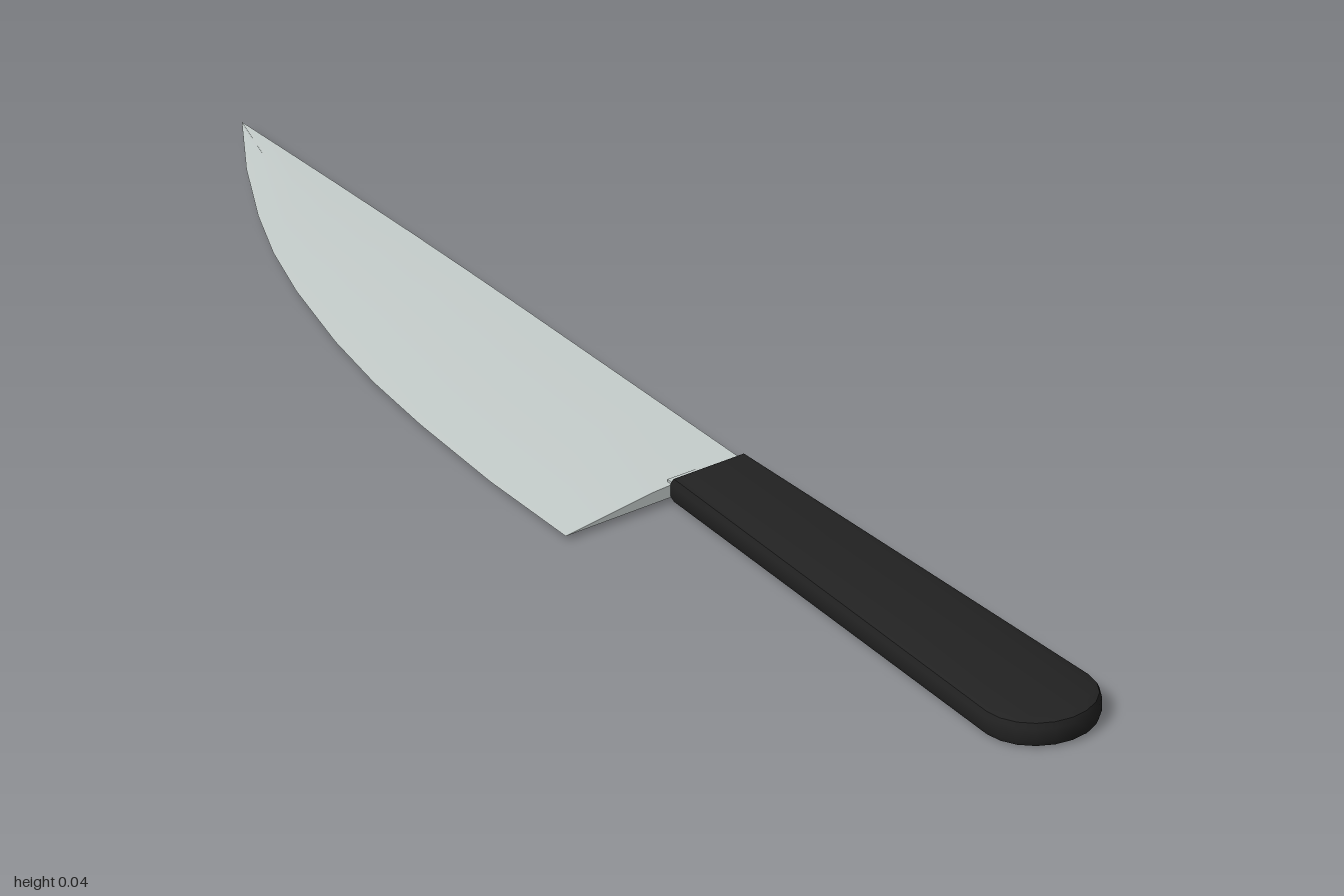
import * as THREE from 'three';
import { toCreasedNormals } from 'three/addons/utils/BufferGeometryUtils.js';

const steel = new THREE.MeshStandardMaterial({ name: 'steel', color: 0xc3cbc9 });
const black = new THREE.MeshStandardMaterial({ name: 'blackHandle', color: 0x222222 });

const SPINE_X = 0.125;

// Blade lofted from four-point cross-sections, heel to tip: [z, edge x, edge y, spine half thickness]
function createBlade() {
  const sections = [
    [0.15, -0.165, 0.008, 0.0125], [-0.03, -0.161, 0.008, 0.0125],
    [-0.21, -0.148, 0.009, 0.0125], [-0.34, -0.132, 0.009, 0.0125],
    [-0.46, -0.11, 0.01, 0.012], [-0.6, -0.074, 0.012, 0.0105],
    [-0.7, -0.04, 0.014, 0.0085], [-0.79, 0, 0.016, 0.0065],
    [-0.9, 0.06, 0.018, 0.0035], [-1, SPINE_X, 0.021, 0.0005],
  ];
  const positions = [];
  const index = [];
  sections.forEach(([z, x, y, half], i) => {
    const top = 0.0225 + half;
    const bottom = 0.0225 - half;
    positions.push(
      x, y, z, // cutting edge
      SPINE_X, bottom, z,
      SPINE_X, top, z,
      (x + SPINE_X) / 2, y + (top - y) * 0.7, z, // slight belly on the upper face
    );
    if (i === 0) return;
    for (let j = 0; j < 4; j++) {
      const k = (j + 1) % 4;
      const a = (i - 1) * 4;
      const b = i * 4;
      index.push(a + j, b + j, a + k, a + k, b + j, b + k);
    }
  });
  index.push(0, 1, 2, 0, 2, 3); // heel
  const last = (sections.length - 1) * 4;
  index.push(last, last + 2, last + 1, last, last + 3, last + 2); // tip
  const geometry = new THREE.BufferGeometry();
  geometry.setAttribute('position', new THREE.Float32BufferAttribute(positions, 3));
  geometry.setIndex(index);
  return toCreasedNormals(geometry, 0.4);
}

// Tapered handle with a rounded butt, outlined in plan and extruded upwards
function createHandle() {
  const cx = 0.073;
  const height = 0.042;
  const bevel = 0.011;
  const shape = new THREE.Shape();
  // shape y is -z once laid flat
  shape.moveTo(cx + 0.062, -0.15);
  shape.lineTo(cx - 0.062, -0.15);
  for (let i = 0; i <= 10; i++) {
    const a = Math.PI * (1 + i / 10);
    shape.lineTo(cx + 0.089 * Math.cos(a), -0.915 + 0.085 * Math.sin(a));
  }
  shape.closePath();
  const geometry = new THREE.ExtrudeGeometry(shape, {
    depth: height - 2 * bevel,
    bevelEnabled: true,
    bevelSize: bevel,
    bevelThickness: bevel,
    bevelOffset: -bevel,
    bevelSegments: 2,
  });
  geometry.rotateX(-Math.PI / 2);
  geometry.translate(0, bevel, 0);
  return toCreasedNormals(geometry, 0.7);
}

export function createModel() {
  const group = new THREE.Group();
  group.name = 'kitchenKnife';

  const blade = new THREE.Mesh(createBlade(), steel);
  blade.name = 'blade';
  const handle = new THREE.Mesh(createHandle(), black);
  handle.name = 'handle';

  // Tang joining the blade to the handle
  const tang = new THREE.Mesh(new THREE.BoxGeometry(0.11, 0.02, 0.06), steel);
  tang.name = 'tang';
  tang.position.set(0.068, 0.0225, 0.17);

  group.add(blade, tang, handle);
  return group;
}
